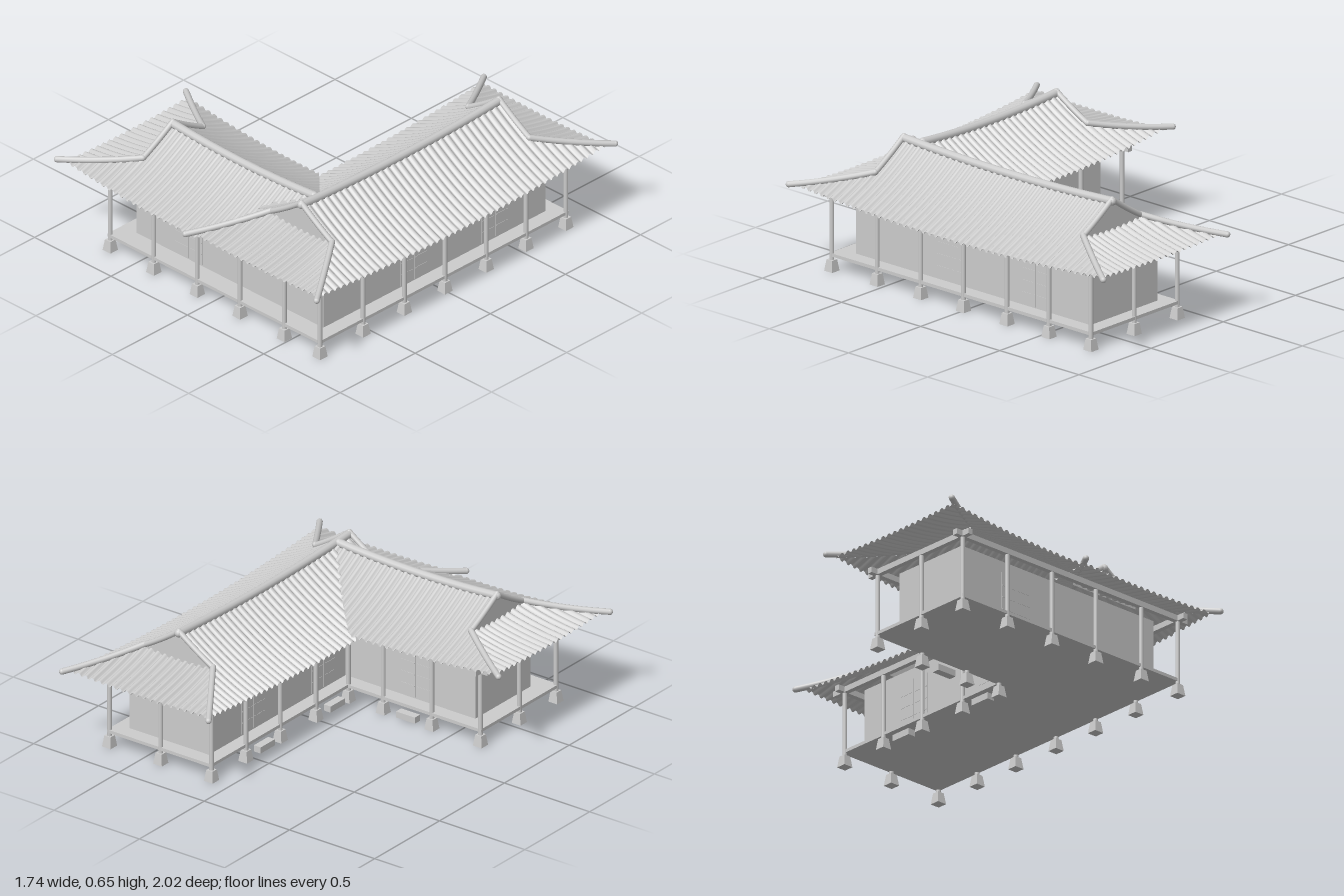
import * as THREE from 'three';

const stone = new THREE.MeshStandardMaterial({ color: 0xcccccc, side: THREE.DoubleSide });
stone.name = 'lightGrey';

const PITCH = 0.04, RUN = 0.3, GABLE = 0.2, EAVE = 0.405;

function add(group, name, geometry, x = 0, y = 0, z = 0) {
  const mesh = new THREE.Mesh(geometry, stone);
  mesh.name = name;
  mesh.position.set(x, y, z);
  group.add(mesh);
  return mesh;
}

// box given by its minimum and maximum corners
function block(group, name, x0, x1, y0, y1, z0, z1) {
  return add(group, name, new THREE.BoxGeometry(x1 - x0, y1 - y0, z1 - z0),
    (x0 + x1) / 2, (y0 + y1) / 2, (z0 + z1) / 2);
}

// surface made of columns u; each column runs over the range(u) of v
function sheet(u0, u1, cols, rows, range, point) {
  const pos = [], index = [];
  for (let i = 0; i <= cols; i++) {
    const u = u0 + (u1 - u0) * i / cols;
    const [a, b] = range(u);
    for (let j = 0; j <= rows; j++) {
      pos.push(...point(u, a + (b - a) * j / rows));
      if (i < cols && j < rows) {
        const k = i * (rows + 1) + j, m = k + rows + 1;
        index.push(k, k + 1, m, m, k + 1, m + 1);
      }
    }
  }
  const g = new THREE.BufferGeometry();
  g.setAttribute('position', new THREE.Float32BufferAttribute(pos, 3));
  g.setIndex(index);
  g.computeVertexNormals();
  return g;
}

// half-round tile rows
function rib(u) {
  const c = u / PITCH - Math.floor(u / PITCH) - 0.5;
  return Math.sqrt(Math.max(0, 0.013 ** 2 - (c * PITCH) ** 2)) - 0.003;
}

function ridgeTube(group, name, points, radius) {
  const path = new THREE.CatmullRomCurve3(points.map(p => new THREE.Vector3(...p)));
  add(group, name, new THREE.TubeGeometry(path, 32, radius, 10), 0, 0, 0);
  for (const p of [points[0], points[points.length - 1]])
    add(group, name + 'End', new THREE.SphereGeometry(radius, 10, 8), ...p);
}

// hip-and-gable roof; t runs along the ridge, d across it
function roof(name, o) {
  const g = new THREE.Group();
  g.name = name;
  const h = (d, t) => 0.6 - o.fall * Math.abs(d) + 0.425 * d * d
    + 0.02 * ((t - o.mid) / o.half) ** 2;
  const hip = e => GABLE + (EAVE - GABLE) * e;
  const at = (d, y, t) => o.map(d, y, t);
  const tEnds = [o.g0 - RUN, o.g1 + (o.ends.includes(1) ? RUN : 0)];

  // long tiled slopes
  for (const s of [-1, 1]) {
    const range = t => {
      const over = Math.max(o.g0 - t, o.ends.includes(1) ? t - o.g1 : 0);
      if (over > 0) return [hip(over / RUN), EAVE];
      return [0, Math.min(EAVE, o.clip(t, s))];
    };
    const cols = Math.round((tEnds[1] - tEnds[0]) / PITCH * 8);
    add(g, 'tiledSlope', sheet(tEnds[0], tEnds[1], cols, 10, range,
      (t, d) => at(s * d, h(d, t) + rib(t), t)));
  }

  for (const s of o.ends) {
    const gt = s < 0 ? o.g0 : o.g1;
    const te = e => gt + s * RUN * e;
    // lower tiled slope at the end
    add(g, 'endSlope', sheet(-EAVE, EAVE, 164, 8,
      d => [Math.max(0, (Math.abs(d) - GABLE) / (EAVE - GABLE)), 1],
      (d, e) => at(d, h(hip(e), te(e)) - 0.012 * (1 - (d / hip(e)) ** 2) + rib(d + 0.02), te(e))));
    // gable triangle
    add(g, 'gable', sheet(-GABLE, GABLE, 24, 1,
      d => [h(GABLE, gt) - 0.015, h(d, gt)], (d, y) => at(d, y, gt)));
    // verge and hip ridges
    for (const m of [-1, 1]) {
      const verge = [], hips = [];
      for (let i = 0; i <= 5; i++) {
        const d = GABLE * i / 5, e = 1.12 * i / 5;
        verge.push(at(m * d, h(d, gt) + 0.012, gt));
        hips.push(at(m * hip(e), h(hip(e), te(e)) + 0.014, te(e)));
      }
      ridgeTube(g, 'vergeRidge', verge, 0.014);
      ridgeTube(g, 'hipRidge', hips, 0.015);
    }
  }

  // main ridge
  const top = [];
  for (let i = 0; i <= 8; i++) {
    const t = o.g0 + (o.g1 - o.g0) * i / 8;
    top.push(at(0, h(0, t) + 0.002, t));
  }
  ridgeTube(g, 'mainRidge', top, 0.021);
  return g;
}

// door plate with a lattice, facing along x or z
function door(group, axis, face, along) {
  const put = (name, a0, a1, y0, y1, t) => axis === 'x'
    ? block(group, name, face - t, face + t, y0, y1, a0, a1)
    : block(group, name, a0, a1, y0, y1, face - t, face + t);
  for (const s of [-1, 1]) {
    const c = along + s * 0.047;
    put('doorLeaf', c - 0.044, c + 0.044, 0.095, 0.34, 0.003);
    for (const y of [0.15, 0.21, 0.27])
      put('doorBar', c - 0.04, c + 0.04, y, y + 0.005, 0.0045);
  }
}

export function createModel() {
  const model = new THREE.Group();
  model.name = 'courtyardHouse';

  // raised floors and walls of both wings
  block(model, 'mainFloor', 0.1, 0.71, 0.072, 0.088, -0.815, 0.84);
  block(model, 'sideFloor', -0.68, 0.1, 0.072, 0.088, 0.24, 0.84);
  block(model, 'mainWalls', 0.17, 0.635, 0.088, 0.395, -0.74, 0.74);
  block(model, 'sideWalls', -0.59, 0.17, 0.088, 0.395, 0.315, 0.74);

  // columns on tapered stones
  const columns = [];
  for (const x of [-0.67, -0.385, -0.1, 0.18, 0.47, 0.703]) columns.push([x, 0.832]);
  for (const z of [0.545, 0.27, 0, -0.275, -0.54, -0.805]) columns.push([0.703, z]);
  for (const z of [0, -0.275, -0.54, -0.805]) columns.push([0.105, z]);
  for (const x of [-0.67, -0.385, -0.1, 0.105]) columns.push([x, 0.25]);
  columns.push([0.403, -0.805], [-0.67, 0.55]);
  const shaft = new THREE.CylinderGeometry(0.0115, 0.0115, 0.34, 12);
  const base = new THREE.CylinderGeometry(0.025, 0.036, 0.056, 4, 1).rotateY(Math.PI / 4).toNonIndexed();
  base.computeVertexNormals();
  for (const [x, z] of columns) {
    add(model, 'column', shaft, x, 0.22, z);
    add(model, 'columnStone', base, x, 0.028, z);
  }

  // plate beams over the column rows
  const beamX = (z, x0, x1) => block(model, 'plateBeam', x0, x1, 0.38, 0.408, z - 0.013, z + 0.013);
  const beamZ = (x, z0, z1) => block(model, 'plateBeam', x - 0.013, x + 0.013, 0.38, 0.408, z0, z1);
  beamX(0.832, -0.72, 0.755);
  beamX(-0.805, 0.055, 0.755);
  beamX(0.25, -0.72, 0.105);
  beamZ(0.703, -0.87, 0.885);
  beamZ(0.105, -0.87, 0.25);
  beamZ(-0.67, 0.2, 0.885);

  // doors and step stones
  door(model, 'z', 0.74, -0.245);
  door(model, 'z', 0.315, -0.245);
  for (const z of [-0.4, 0.14]) {
    door(model, 'x', 0.17, z);
    block(model, 'stepStone', 0.083, 0.123, 0.008, 0.04, z - 0.055, z + 0.055);
  }
  for (const z of [-0.4, 0.14]) door(model, 'x', 0.635, z);
  block(model, 'stepStone', -0.3, -0.19, 0.008, 0.04, 0.23, 0.27);

  // roofs, trimmed where they meet in the valley
  model.add(roof('mainRoof', {
    fall: 0.73, mid: 0, half: 0.65, g0: -0.665, g1: 0.65, ends: [-1, 1],
    map: (d, y, t) => [0.403 + d, y, t],
    clip: (t, s) => (s < 0 && t > 0.15 && t < 0.55 ? 0.575 - t : EAVE),
  }));
  model.add(roof('sideRoof', {
    fall: 0.655, mid: -0.07, half: 0.47, g0: -0.54, g1: 0.385, ends: [-1],
    map: (d, y, t) => [t, y, 0.548 + d],
    clip: (t, s) => {
      if (t < 0) return EAVE;
      if (s < 0) return 0.425 - t;
      return t < 0.2 ? EAVE - 1.5 * t : 0.205 - 0.5 * t;
    },
  }));
  return model;
}
